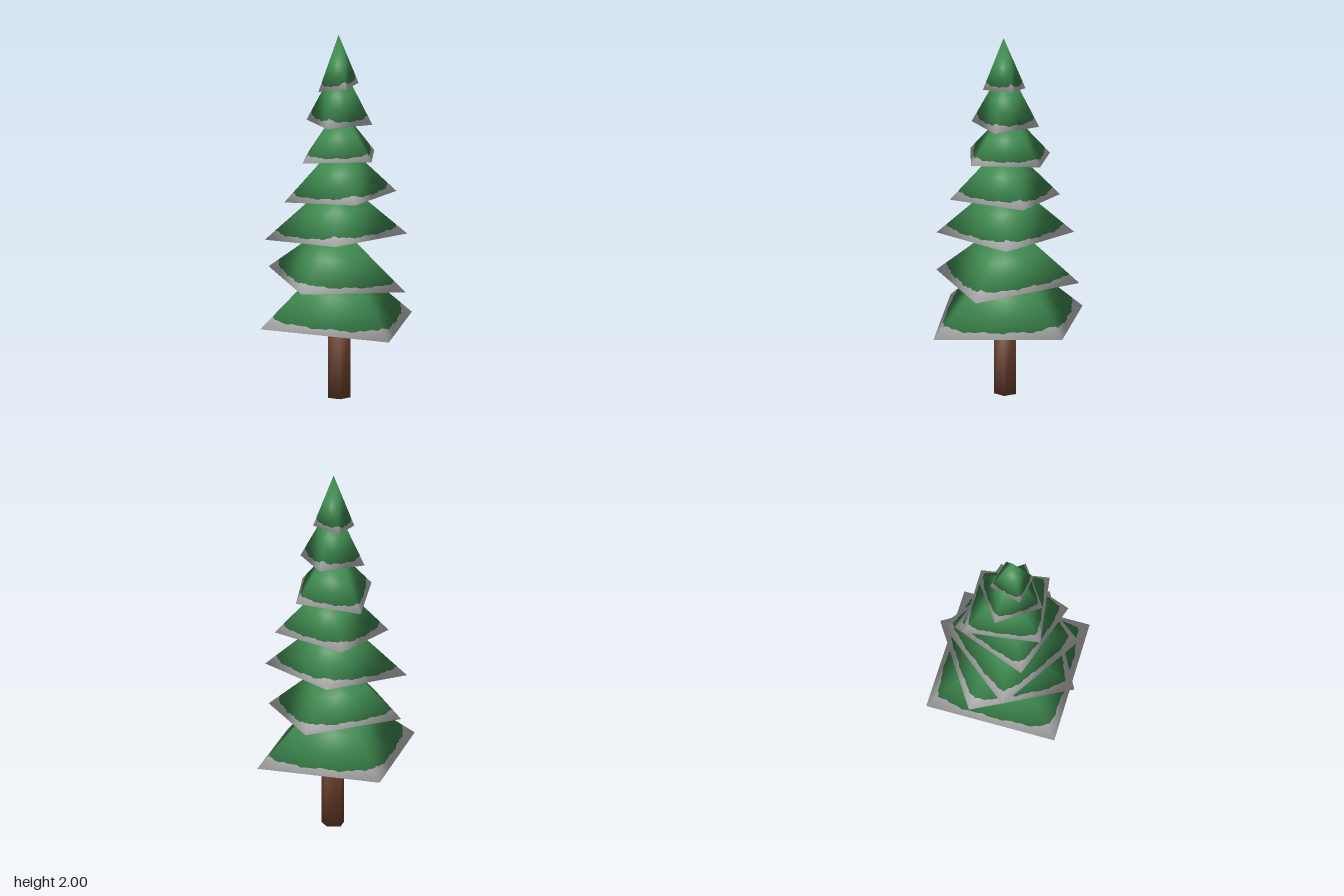
import * as THREE from 'three';

// Each tier: apex height and four rim corners [x, y, z], counter-clockwise from above
const TIERS = [
  { apex: 0.81, rim: [[0, 0.385, 0.5], [0.49, 0.41, 0], [0.02, 0.4, -0.5], [-0.5, 0.43, 0]] },
  { apex: 0.97, rim: [[0.2, 0.615, 0.365], [0.33, 0.65, -0.24], [-0.2, 0.68, -0.36], [-0.365, 0.64, 0.2]] },
  { apex: 1.22, rim: [[-0.22, 0.905, 0.31], [0.3, 0.905, 0.235], [0.225, 0.905, -0.285], [-0.32, 0.865, -0.22]] },
  { apex: 1.42, rim: [[-0.095, 1.12, 0.315], [0.305, 1.12, 0.125], [0.12, 1.095, -0.27], [-0.285, 1.09, -0.085]] },
  { apex: 1.6, rim: [[0.04, 1.335, 0.275], [0.262, 1.325, -0.025], [0.01, 1.3, -0.285], [-0.258, 1.325, 0.05]] },
  { apex: 1.86, rim: [[0.117, 1.515, 0.17], [0.157, 1.515, -0.1], [-0.1, 1.515, -0.143], [-0.15, 1.515, 0.125]] },
  { apex: 2.0, rim: [[-0.037, 1.72, 0.135], [0.112, 1.725, 0.045], [0.037, 1.705, -0.098], [-0.12, 1.695, 0]] },
];
const STEPS = 24; // samples along one rim edge
const RINGS = 5;  // rows in each band

// Band of a surface running from the rim (t = 0) to a goal point (t = 1)
function band(rim, rimNormals, goal, goalNormal, from, to, flip) {
  const n = rim.length, position = [], normal = [], index = [];
  for (let r = 0; r <= RINGS; r++) {
    for (let i = 0; i < n; i++) {
      const t = THREE.MathUtils.lerp(from[i], to[i], r / RINGS);
      position.push(...rim[i].clone().lerp(goal, t));
      normal.push(...rimNormals[i].clone().lerp(goalNormal, t).normalize());
      if (r === RINGS) continue;
      const a = r * n + i, b = r * n + (i + 1) % n;
      if (flip) index.push(a, a + n, b, b, a + n, b + n);
      else index.push(a, b, a + n, b, b + n, a + n);
    }
  }
  const g = new THREE.BufferGeometry();
  g.setAttribute('position', new THREE.Float32BufferAttribute(position, 3));
  g.setAttribute('normal', new THREE.Float32BufferAttribute(normal, 3));
  g.setIndex(index);
  return g;
}

// Four-sided bough layer with an uneven snow border on its slopes and underside
function makeTier({ apex, rim }, k, green, snow) {
  const tier = new THREE.Group();
  tier.name = `boughTier${k + 1}`;
  const corners = rim.map((c) => new THREE.Vector3(...c));
  const mean = (list) => list.reduce((s, v) => s.add(v), new THREE.Vector3()).multiplyScalar(1 / list.length);
  const centre = mean(corners);
  const tip = new THREE.Vector3(centre.x, apex, centre.z);

  // Soft corner normals: the two slopes and the underside, weighted by their angles
  const slopeNormals = corners.map((c, i) =>
    new THREE.Triangle(c, corners[(i + 1) % 4], tip).getNormal(new THREE.Vector3()));
  const cornerNormals = corners.map((c, i) => {
    const next = corners[(i + 1) % 4].clone().sub(c);
    const prev = corners[(i + 3) % 4].clone().sub(c);
    const ridge = tip.clone().sub(c);
    return new THREE.Vector3(0, -next.angleTo(prev), 0)
      .addScaledVector(slopeNormals[i], next.angleTo(ridge))
      .addScaledVector(slopeNormals[(i + 3) % 4], prev.angleTo(ridge))
      .normalize();
  });

  const edge = [], edgeNormals = [], slopeT = [], baseT = [];
  for (let i = 0; i < 4 * STEPS; i++) {
    const a = Math.floor(i / STEPS), b = (a + 1) % 4, u = (i % STEPS) / STEPS;
    edge.push(corners[a].clone().lerp(corners[b], u));
    edgeNormals.push(cornerNormals[a].clone().lerp(cornerNormals[b], u));
    const nearCorner = Math.pow(Math.abs(2 * u - 1), 3);
    const wobble = 0.008 * Math.sin(i * 0.9 + k * 2) + 0.007 * Math.sin(i * 2.3 + k);
    slopeT.push(0.075 + 0.075 * nearCorner + wobble);
    baseT.push(0.26 + 0.1 * nearCorner + wobble);
  }
  const start = edge.map(() => 0), end = edge.map(() => 1);
  const add = (name, material, goal, goalNormal, from, to, flip) => {
    const mesh = new THREE.Mesh(band(edge, edgeNormals, goal, goalNormal, from, to, flip), material);
    mesh.name = name;
    tier.add(mesh);
  };

  // Slopes
  const up = new THREE.Vector3(0, 1, 0);
  add('slopeSnow', snow, tip, up, start, slopeT, false);
  add('slopeNeedles', green, tip, up, slopeT, end, false);
  // Underside
  const under = mean(cornerNormals);
  add('undersideSnow', snow, centre, under, start, baseT, true);
  add('undersideNeedles', green, centre, under, baseT, end, true);
  return tier;
}

// Five-sided trunk with its ends shaded softly into its sides
function makeTrunk(bark) {
  const radius = 0.064;
  const g = new THREE.CylinderGeometry(radius, radius, 0.45, 5, 1, false, Math.PI / 4);
  const p = g.attributes.position, v = new THREE.Vector3();
  for (let i = 0; i < p.count; i++) {
    v.set(p.getX(i) / radius * 0.8, Math.sign(p.getY(i)) * 0.6, p.getZ(i) / radius * 0.8).normalize();
    g.attributes.normal.setXYZ(i, v.x, v.y, v.z);
  }
  const trunk = new THREE.Mesh(g, bark);
  trunk.name = 'trunk';
  trunk.position.set(0.005, 0.225, 0.013);
  return trunk;
}

export function createModel() {
  const green = new THREE.MeshStandardMaterial({ color: 0x3f8a50 });
  green.name = 'needleGreen';
  const snow = new THREE.MeshStandardMaterial({ color: 0xd0d0d0 });
  snow.name = 'snowWhite';
  const bark = new THREE.MeshStandardMaterial({ color: 0x74432f });
  bark.name = 'barkBrown';

  const tree = new THREE.Group();
  tree.name = 'snowyFirTree';
  tree.add(makeTrunk(bark));
  TIERS.forEach((t, k) => tree.add(makeTier(t, k, green, snow)));
  return tree;
}
